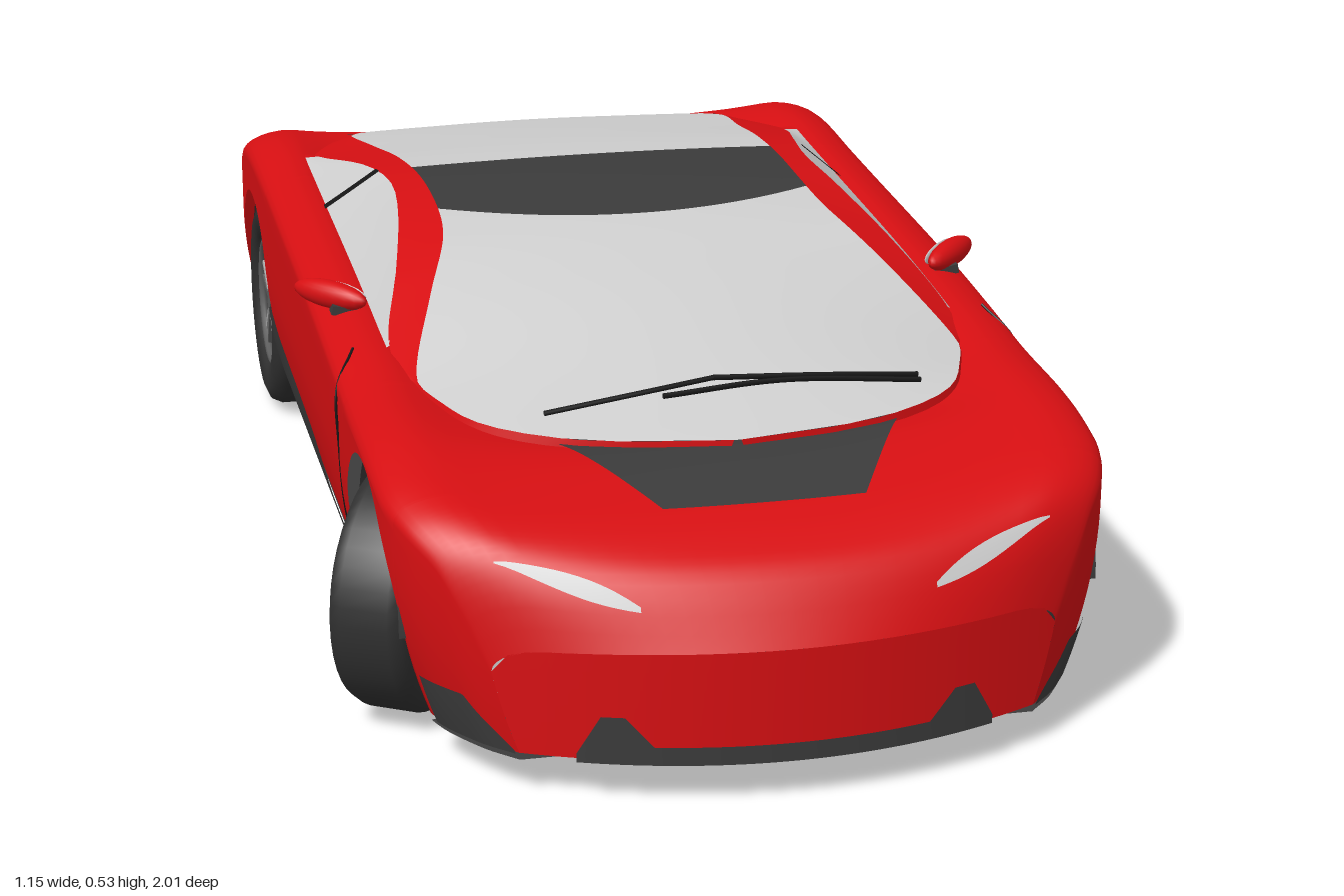
import * as THREE from 'three';

const mat = (name, color) => Object.assign(new THREE.MeshStandardMaterial({ color, side: THREE.DoubleSide }), { name });
const clamp = (v) => Math.min(1, Math.max(0, v));
const lerp = THREE.MathUtils.lerp;
const range = (a, b, n) => Array.from({ length: n + 1 }, (_, i) => lerp(a, b, i / n));

// smooth curve through [position, value] pairs
function curve(...p) {
  const slope = (i) => {
    const a = p[Math.max(0, i - 1)], b = p[Math.min(p.length - 1, i + 1)];
    return (b[1] - a[1]) / (b[0] - a[0]);
  };
  return (x) => {
    x = Math.min(p[p.length - 1][0], Math.max(p[0][0], x));
    let i = 0;
    while (i < p.length - 2 && x > p[i + 1][0]) i++;
    const h = p[i + 1][0] - p[i][0], t = (x - p[i][0]) / h, q = 1 - t;
    return p[i][1] * (1 + 2 * t) * q * q + slope(i) * h * t * q * q
      + p[i + 1][1] * t * t * (3 - 2 * t) - slope(i + 1) * h * t * t * q;
  };
}

// body rules along the length: half width, fender height, centre height
const W = curve([-1, .465], [-.96, .495], [-.9, .508], [-.5, .508], [.3, .508], [.7, .505], [.8, .485], [.9, .45], [.95, .43], [1, .4]);
const fender = curve([-1, .27], [-.97, .35], [-.93, .4], [-.87, .44], [-.8, .455], [-.7, .46], [-.55, .455], [-.4, .45],
  [0, .437], [.25, .422], [.4, .41], [.6, .402], [.75, .378], [.85, .355], [.92, .325], [.97, .275], [1, .21]);
const centre = curve([-1, .28], [-.97, .36], [-.93, .4], [-.87, .42], [-.76, .4], [-.5, .34], [.4, .34], [.55, .355],
  [.66, .372], [.8, .352], [.9, .322], [.95, .292], [1, .215]);
const wheels = [{ z: .58, r: .187, x: .44, turn: -.56 }, { z: -.72, r: .195, x: .44, turn: 0 }];
const AXLE = .176;
const bottom = (z) => {
  for (const w of wheels) {
    const d = Math.abs(z - w.z);
    if (d < w.r) return AXLE + Math.sqrt(w.r * w.r - d * d);
  }
  return z < -.8 ? .14 : .062;
};
const sideX = (y, z) => W(z) - .05 * clamp((.3 - y) / .25) ** 2;
const bow = (x, z) => z - .7 * x * x * clamp((z - .72) / .28) ** 2 + .2 * x * x * clamp((-z - .72) / .28) ** 2;
const top = (x, z) => {
  const w = W(z) - .08, s = Math.abs(x) / w, f = fender(z);
  if (s < 1) return lerp(centre(z), f, s ** 2.5);
  return f - .035 * (1 - Math.sqrt(Math.max(0, 1 - ((Math.abs(x) - w) / .08) ** 2)));
};

// cabin rules: glass half width, glass centre and edge height, pillar edge
const G = curve([-.865, .2], [-.84, .29], [-.8, .32], [-.76, .33], [-.6, .315], [-.3, .295], [-.08, .292], [.05, .305],
  [.2, .35], [.38, .4], [.45, .385], [.55, .335], [.62, .23], [.65, .12], [.665, .005]);
const roofY = curve([-.865, .434], [-.8, .448], [-.6, .485], [-.4, .515], [-.2, .529], [0, .522], [.2, .49], [.4, .447], [.665, .384]);
const edgeY = curve([-.865, .43], [-.76, .45], [-.6, .476], [-.4, .509], [-.2, .524], [.05, .507], [.2, .467], [.38, .408], [.5, .396], [.665, .384]);
const pillarX = curve([-.865, .22], [-.8, .37], [-.76, .395], [-.63, .405], [-.4, .36], [-.25, .34], [-.1, .35], [.1, .385], [.25, .42], [.38, .42]);
const pillarY = curve([-.865, .405], [-.76, .432], [-.63, .455], [-.4, .502], [-.25, .516], [-.1, .511], [.1, .475], [.25, .425], [.38, .395]);
const glassPoint = (t, z, off = 0) => [t * G(z), lerp(roofY(z), edgeY(z), t * t) + off, z];
const pillarPoint = (z) => z > .38 ? [G(z) + .012, edgeY(z) - .03, z] : [pillarX(z), pillarY(z), z];
const mix = (a, b, t) => a.map((v, i) => lerp(v, b[i], t));

export function createModel() {
  const car = new THREE.Group();
  car.name = 'sportsCar';
  const red = mat('redPaint', 0xd60f12), dark = mat('darkTrim', 0x3b3b3b), glass = mat('paleGlass', 0xcfcfcf);
  const black = mat('black', 0x161616), rubber = mat('rubber', 0x303030), metal = mat('wheelMetal', 0xa8a8a8), grey = mat('spokeGrey', 0x5e5e5e);

  const add = (geo, material, name, parent = car) => {
    const m = new THREE.Mesh(geo, material);
    m.name = name;
    parent.add(m);
    return m;
  };
  // grid surface from a rule f(u, v) => [x, y, z]
  const surf = (name, material, us, vs, f) => {
    const pos = [], idx = [], n = vs.length;
    us.forEach((u, i) => vs.forEach((v, j) => {
      pos.push(...f(u, v));
      if (i && j) {
        const a = i * n + j;
        idx.push(a - n - 1, a - n, a - 1, a - n, a, a - 1);
      }
    }));
    const g = new THREE.BufferGeometry();
    g.setAttribute('position', new THREE.Float32BufferAttribute(pos, 3));
    g.setIndex(idx);
    g.computeVertexNormals();
    return add(g, material, name);
  };
  const line = (name, material, pts, r, n = 24) => add(
    new THREE.TubeGeometry(new THREE.CatmullRomCurve3(pts.map((p) => new THREE.Vector3(...p))), n, r, 6), material, name);

  // body shell with open wheel arches
  const stations = range(-1, 1, 160);
  for (const w of wheels) for (const s of [-1, 1]) for (const e of [-1e-4, 1e-4, -.002, -.006]) stations.push(w.z + s * (w.r + e));
  stations.sort((a, b) => a - b);
  surf('bodyShell', red, stations, range(-1, 1, 60), (z, v) => {
    const a = Math.abs(v), s = Math.sign(v), shoulder = fender(z) - .035;
    if (a <= .6) {
      const x = W(z) * Math.sin(Math.PI / 2 * a / .6), px = x * sideX(shoulder, z) / W(z);
      return [s * px, top(x, z), bow(px, z)];
    }
    const y = lerp(shoulder, bottom(z), (a - .6) / .4), x = sideX(y, z);
    return [s * x, y, bow(x, z)];
  });
  for (const end of [-1, 1]) surf(end > 0 ? 'noseFace' : 'tailFace', red, range(-1, 1, 32), range(0, 1, 6), (t, v) => {
    const y = lerp(top(t * W(end), end), bottom(end), v), x = t * sideX(y, end);
    return [x, y, bow(x, end)];
  });

  // cabin: windscreen, roof, rear window
  const ts = range(-1, 1, 20), us = range(0, 1, 30);
  const roofFront = (t) => .02 - .09 * t * t;
  surf('windscreen', glass, us, ts, (u, t) => glassPoint(t, lerp(roofFront(t), .665, u)));
  surf('roof', dark, us, ts, (u, t) => glassPoint(t, lerp(-.31, roofFront(t), u)));
  surf('rearWindow', glass, us, ts, (u, t) => glassPoint(t, lerp(-.865, -.31, u)));
  for (const s of [-1, 1]) {
    const flip = ([x, y, z]) => [s * x, y, z];
    surf('roofPillar', red, range(-.865, .665, 80), range(0, 1, 4), (z, v) => flip(mix(glassPoint(1, z), pillarPoint(z), v)));
    const sidePane = (name, m, a, b, off = 0) => surf(name, m, range(a, b, 16), range(0, 1, 4), (z, v) => {
      const zz = z - .05 * v * clamp((z + .55) / .1) * clamp((.1 - z) / .2);
      return flip(mix([pillarX(zz) + off, pillarY(zz) + off, zz], [.427 + off, fender(zz) - .004, zz], v));
    });
    sidePane('rearQuarterPanel', red, -.865, -.63);
    sidePane('sideWindow', glass, -.63, .27);
    sidePane('windowDivider', black, -.325, -.305, .004);

    // side sill, bumper corners and door seam
    const sideStrip = (name, a, b, lo, hi) => surf(name, dark, range(a, b, 30), range(0, 1, 6), (z, v) => {
      const y = lerp(lo(z), hi(z), v), x = sideX(y, z) + .005;
      return [s * x, y, bow(x, z)];
    });
    const sillTop = curve([-.57, .1], [-.53, .2], [-.5, .243], [-.38, .222], [0, .2], [.1, .172], [.22, .11], [.3, .07]);
    sideStrip('sideSill', -.57, .3, () => .05, sillTop);
    sideStrip('frontBumperCorner', .8, 1, () => .06, (z) => z > .93 ? lerp(.13, .065, (z - .93) / .07) : .13);
    sideStrip('rearBumperCorner', -1, -.92, () => .085, () => .15);
    line('doorSeam', black, [[.42, .27], [.38, .33], [.3, .338], [.18, .32], [.07, .31]].map(([y, z]) =>
      [s * (y > .4 ? .475 : sideX(y, z)), y, z]), .002);

    // headlights
    surf('headlight', glass, range(.2, .38, 12), range(-1, 1, 2), (x, v) => {
      const k = (x - .2) / .18, z = lerp(.972, .93, k) + .011 * v * Math.sin(Math.PI * (.06 + k * .9));
      return [s * x, top(x, z) + .005, bow(x, z) + .005];
    });

    // mirrors
    const mirror = new THREE.Group();
    mirror.name = 'mirror';
    mirror.position.set(s * .482, .444, .085);
    mirror.rotation.y = s * .85;
    car.add(mirror);
    add(new THREE.SphereGeometry(1, 20, 12), red, 'mirrorShell', mirror).scale.set(.07, .021, .02);
    const face = add(new THREE.SphereGeometry(1, 20, 8), glass, 'mirrorGlass', mirror);
    face.scale.set(.055, .015, .004);
    face.position.z = -.018;
    const arm = add(new THREE.BoxGeometry(.06, .014, .025), dark, 'mirrorArm');
    arm.position.set(s * .455, .424, .11);
    arm.rotation.z = s * .2;

    // wheels and arch liners
    wheels.forEach((w, i) => {
      const liner = add(new THREE.CylinderGeometry(w.r, w.r, .21, 32, 1, true, 0, Math.PI), dark, 'archLiner');
      liner.rotation.z = Math.PI / 2;
      liner.position.set(s * .385, AXLE, w.z);
      const wheel = new THREE.Group();
      wheel.name = i ? 'rearWheel' : 'frontWheel';
      wheel.position.set(s * w.x, AXLE, w.z);
      wheel.rotation.y = w.turn + (s < 0 ? Math.PI : 0);
      car.add(wheel);
      const spin = (geo, m, name, x = 0) => {
        const o = add(geo, m, name, wheel);
        o.rotation.z = -Math.PI / 2;
        o.position.x = x;
        return o;
      };
      const profile = [[.108, -.055], [.15, -.06], [.168, -.052], [.176, -.035], [.176, .035], [.168, .052], [.15, .06], [.112, .055], [.104, .02]];
      spin(new THREE.LatheGeometry(profile.map((p) => new THREE.Vector2(...p)), 40), rubber, 'tyre');
      spin(new THREE.CylinderGeometry(.108, .108, .06, 32), dark, 'rimBarrel', -.02);
      spin(new THREE.CylinderGeometry(.09, .09, .012, 32), metal, 'brakeDisc', .016);
      spin(new THREE.CylinderGeometry(.022, .026, .026, 20), grey, 'hub', .034);
      const ring = add(new THREE.TorusGeometry(.104, .007, 8, 40), grey, 'rimRing', wheel);
      ring.rotation.y = Math.PI / 2;
      ring.position.x = .045;
      for (let k = 0; k < 10; k++) {
        const a = Math.floor(k / 2) * Math.PI * .4 + (k % 2 ? .16 : -.16);
        const spoke = add(new THREE.BoxGeometry(.012, .085, .009), k % 2 ? grey : metal, 'spoke', wheel);
        spoke.position.set(.04, Math.cos(a) * .062, Math.sin(a) * .062);
        spoke.rotation.x = a;
      }
      const caliper = add(new THREE.TorusGeometry(.077, .013, 8, 12, 1.1), red, 'brakeCaliper', wheel);
      caliper.rotation.set(0, Math.PI / 2, 0);
      caliper.rotation.z = s > 0 ? -.1 : 2.1;
      caliper.position.x = .022;
    });

    // exhaust tips
    const pipe = add(new THREE.CylinderGeometry(.02, .02, .08, 16), dark, 'exhaustTip');
    pipe.rotation.x = Math.PI / 2;
    pipe.position.set(s * .2, .11, -.95);
  }

  // dark panels on bonnet and tail deck
  const deck = (name, a, b, wa, wb) => surf(name, dark, range(a, b, 12), ts, (z, t) => {
    const x = t * lerp(wa, wb, (z - a) / (b - a));
    return [x, top(x, z) + .004, bow(x, z)];
  });
  deck('bonnetPanel', .58, .82, .26, .14);
  deck('tailVent', -.885, -.82, .2, .33);

  // front lip with intakes, rear diffuser
  const lipTop = (x) => {
    const d = Math.abs(Math.abs(x) - .24);
    return Math.abs(x) < .24 ? Math.max(.084, .125 - clamp(d - .015) * 1.1) : .125 - clamp(d - .015) * 1.8;
  };
  surf('frontLip', dark, range(-.285, .285, 76), [0, 1], (x, v) => [x, lerp(.058, Math.max(.06, lipTop(x)), v), bow(x, 1) + .005]);
  surf('rearDiffuser', dark, range(-.45, .45, 40), range(0, 1, 3), (x, v) => {
    const y = lerp(.085, Math.abs(x) < .28 ? .185 : .16, v);
    return [x, y, bow(x, -1) - .005 + .03 * (1 - v)];
  });

  // underside and inner core between the wheels
  surf('underside', dark, stations, [-1, 1], (z, t) => {
    const inArch = wheels.some((w) => Math.abs(z - w.z) < w.r);
    const x = inArch ? .285 : sideX(.06, z);
    return [t * x, z < -.8 ? lerp(.052, .1, clamp((-.8 - z) / .18)) : .052, bow(x, z)];
  });
  add(new THREE.BoxGeometry(.57, .26, 1.7), dark, 'innerCore').position.set(0, .19, -.05);

  // windscreen wipers
  const wiper = (...pts) => line('wiper', black, pts.map(([x, z]) => glassPoint(x / G(z), z, .006)), .004, 20);
  wiper([-.25, .56], [-.1, .54], [0, .52]);
  wiper([.3, .535], [.1, .535], [-.08, .555]);
  wiper([.3, .52], [.15, .525], [0, .52]);
  return car;
}
